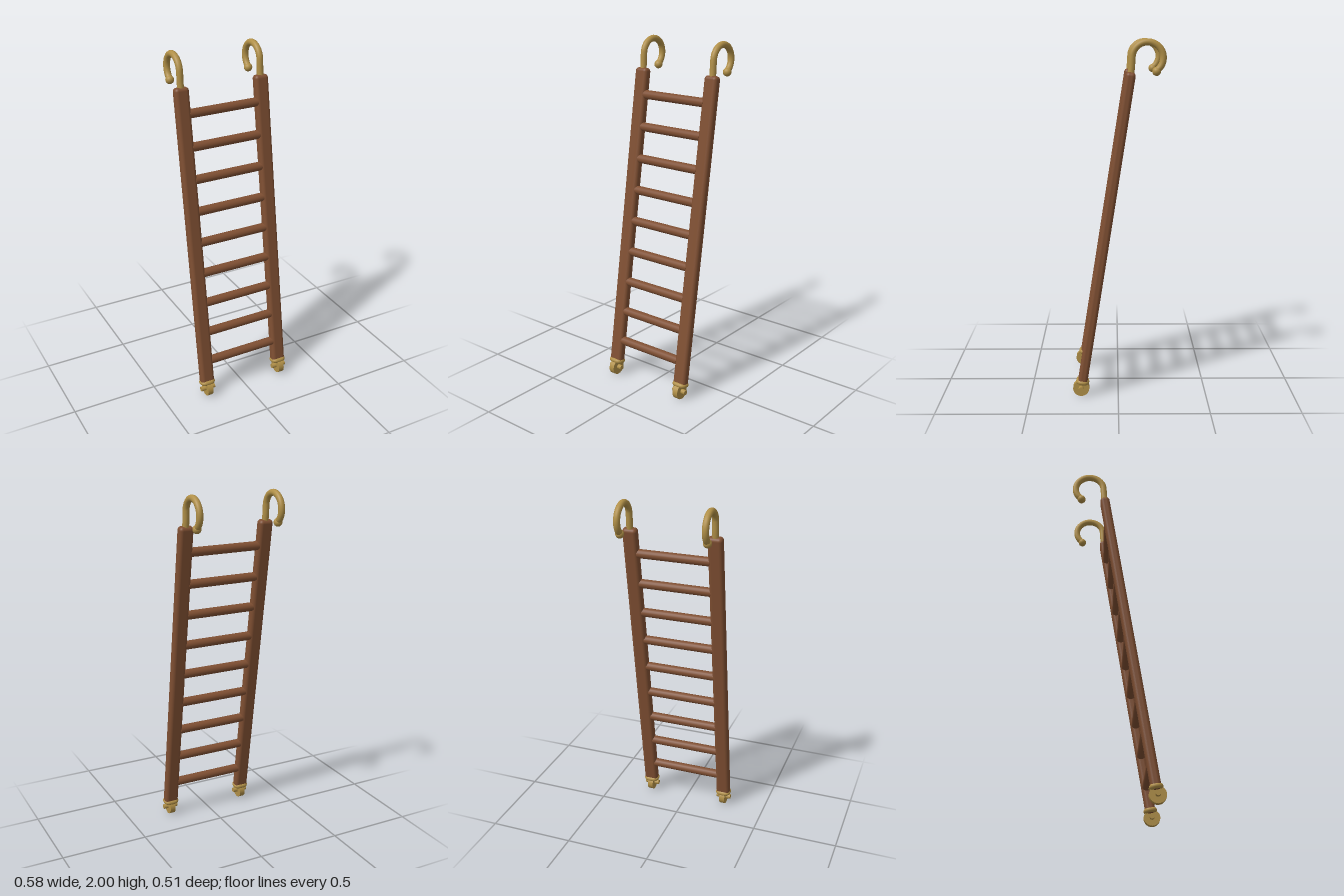
import * as THREE from 'three';
import { RoundedBoxGeometry } from 'three/addons/geometries/RoundedBoxGeometry.js';

export function createModel() {
  const model = new THREE.Group();
  model.name = 'hookLadder';
  const wood = new THREE.MeshStandardMaterial({ name: 'brown wood', color: 0x7f4f32 });
  const brass = new THREE.MeshStandardMaterial({ name: 'aged brass', color: 0xb08f47 });

  const add = (parent, name, geometry, material, x = 0, y = 0, z = 0) => {
    const mesh = new THREE.Mesh(geometry, material);
    mesh.name = name;
    mesh.position.set(x, y, z);
    parent.add(mesh);
    return mesh;
  };

  // leaning frame: local y runs along the rails
  const frame = new THREE.Group();
  frame.name = 'leaningFrame';
  frame.position.set(0, 0.947, 0.0685);
  frame.rotation.x = -0.1543;
  model.add(frame);

  const railX = 0.2425;
  const railGeo = new RoundedBoxGeometry(0.083, 1.775, 0.054, 4, 0.02);

  // rungs
  const rungGeo = new THREE.CylinderGeometry(0.0255, 0.0255, 0.42, 20).rotateZ(Math.PI / 2);
  for (let i = 0; i < 9; i++) add(frame, 'rung' + (i + 1), rungGeo, wood, 0, (i - 4) * 0.1847, 0);

  // collar: a round bar bent into a rounded rectangle
  const hx = 0.032, hz = 0.0225, r = 0.018;
  const outline = [];
  [[1, 1], [-1, 1], [-1, -1], [1, -1]].forEach(([sx, sz], q) => {
    for (let k = 0; k <= 4; k++) {
      const a = (q + k / 4) * Math.PI / 2;
      outline.push(new THREE.Vector3(sx * (hx - r) + r * Math.cos(a), 0, sz * (hz - r) + r * Math.sin(a)));
    }
  });
  const collarGeo = new THREE.TubeGeometry(new THREE.CatmullRomCurve3(outline, true), 64, 0.0145, 12, true);

  // hook: short shank, then an arc over the top to the back
  const cy = 1.899, cz = -0.156, R = 0.0825;
  const path = [new THREE.Vector3(0, 1.79, -0.064), new THREE.Vector3(0, 1.85, -0.0705)];
  const endAngle = Math.PI * 1.29;
  for (let k = 0; k <= 14; k++) {
    const a = endAngle * k / 14;
    path.push(new THREE.Vector3(0, cy + R * Math.sin(a), cz + R * Math.cos(a)));
  }
  const tip = path[path.length - 1];
  const hookGeo = new THREE.TubeGeometry(new THREE.CatmullRomCurve3(path), 56, 0.0185, 14);
  const ballGeo = new THREE.SphereGeometry(0.024, 18, 12);

  // wheel and axle
  const wheelGeo = new THREE.CylinderGeometry(0.046, 0.046, 0.033, 28).rotateZ(Math.PI / 2);
  const axleGeo = new THREE.CylinderGeometry(0.0145, 0.0145, 0.087, 16).rotateZ(Math.PI / 2);

  for (const [side, s] of [['left', 1], ['right', -1]]) {
    const x = s * railX;
    add(frame, side + 'Rail', railGeo, wood, x);
    add(frame, side + 'Collar', collarGeo, brass, x, -0.871, 0);
    add(model, side + 'Hook', hookGeo, brass, x);
    add(model, side + 'HookBall', ballGeo, brass, x, tip.y - 0.006, tip.z + 0.003);
    add(model, side + 'Wheel', wheelGeo, brass, x, 0.046, 0.211);
    add(model, side + 'Axle', axleGeo, brass, x, 0.048, 0.211);
  }
  return model;
}
